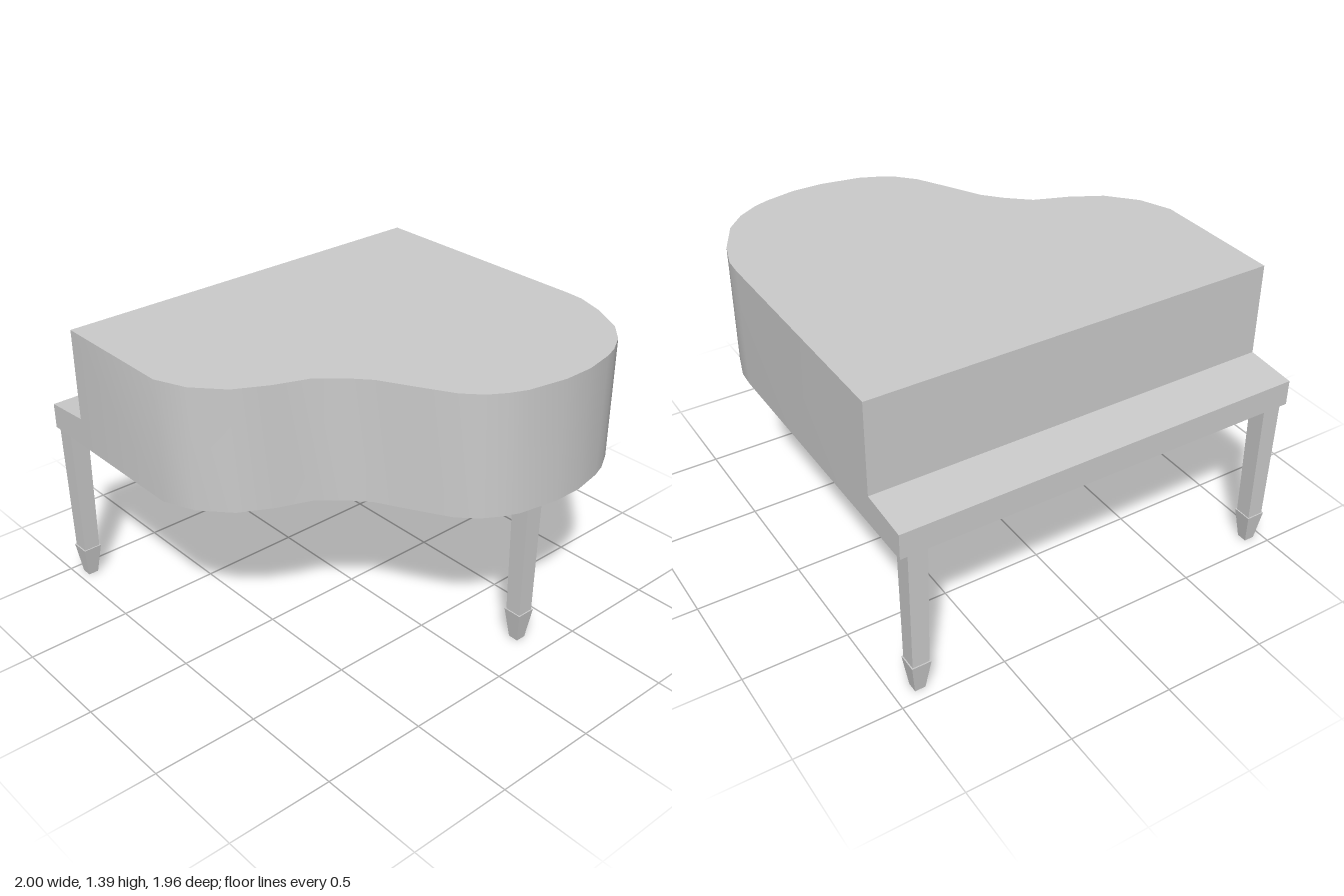
import * as THREE from 'three';
import { toCreasedNormals } from 'three/addons/utils/BufferGeometryUtils.js';

const material = new THREE.MeshStandardMaterial({ color: 0xcccccc });

function addMesh(parent, name, geometry) {
  const mesh = new THREE.Mesh(geometry, material);
  mesh.name = name;
  parent.add(mesh);
  return mesh;
}

// Square bar that tapers from the top width to the bottom width
function taperedBar(top, bottom, y0, y1) {
  const geometry = new THREE.CylinderGeometry(top * Math.SQRT1_2, bottom * Math.SQRT1_2, y1 - y0, 4);
  geometry.rotateY(Math.PI / 4).translate(0, (y0 + y1) / 2, 0);
  return toCreasedNormals(geometry, 0.5);
}

function makeLeg(name, x, z) {
  const leg = new THREE.Group();
  leg.name = name;
  addMesh(leg, 'legShaft', taperedBar(0.092, 0.08, 0.157, 0.806));
  addMesh(leg, 'legFoot', taperedBar(0.092, 0.05, 0, 0.157));
  leg.position.set(x, 0, z);
  return leg;
}

export function createModel() {
  const piano = new THREE.Group();
  piano.name = 'grandPiano';
  const base = 0.805, top = 1.39, back = -0.982, front = 0.98, keyLine = -0.755;

  // Curved case, outline given as x, z
  const outline = [
    [keyLine, back], [0.41, back], [0.5, -0.976], [0.63, -0.935], [0.8, -0.845],
    [0.89, -0.755], [0.945, -0.66], [0.97, -0.59], [1, -0.44], [1, -0.29],
    [0.965, -0.1], [0.93, -0.02], [0.88, 0.06], [0.8, 0.135], [0.63, 0.23],
    [0.49, 0.305], [0.4, 0.385], [0.31, 0.49], [0.25, 0.65], [0.17, 0.8],
    [0.04, 0.918], [-0.11, front], [keyLine, front],
  ];
  const caseShape = new THREE.Shape(outline.map(([x, z]) => new THREE.Vector2(x, -z)));
  const caseGeometry = new THREE.ExtrudeGeometry(caseShape, { depth: top - base, bevelEnabled: false });
  caseGeometry.rotateX(-Math.PI / 2).translate(0, base, 0);
  addMesh(piano, 'case', toCreasedNormals(caseGeometry, 0.7));

  // Keyboard shelf with a gently sloping top
  const shelfShape = new THREE.Shape([
    [-1, base], [keyLine, base], [keyLine, 0.946], [-1, 0.927],
  ].map(([x, y]) => new THREE.Vector2(x, y)));
  const shelfGeometry = new THREE.ExtrudeGeometry(shelfShape, { depth: front - back, bevelEnabled: false });
  addMesh(piano, 'keyboardShelf', shelfGeometry.translate(0, 0, back));

  // Two legs under the keyboard, one under the tail
  piano.add(
    makeLeg('keyboardLegFront', -0.92, 0.933),
    makeLeg('keyboardLegBack', -0.92, -0.885),
    makeLeg('tailLeg', 0.852, -0.277),
  );
  return piano;
}
